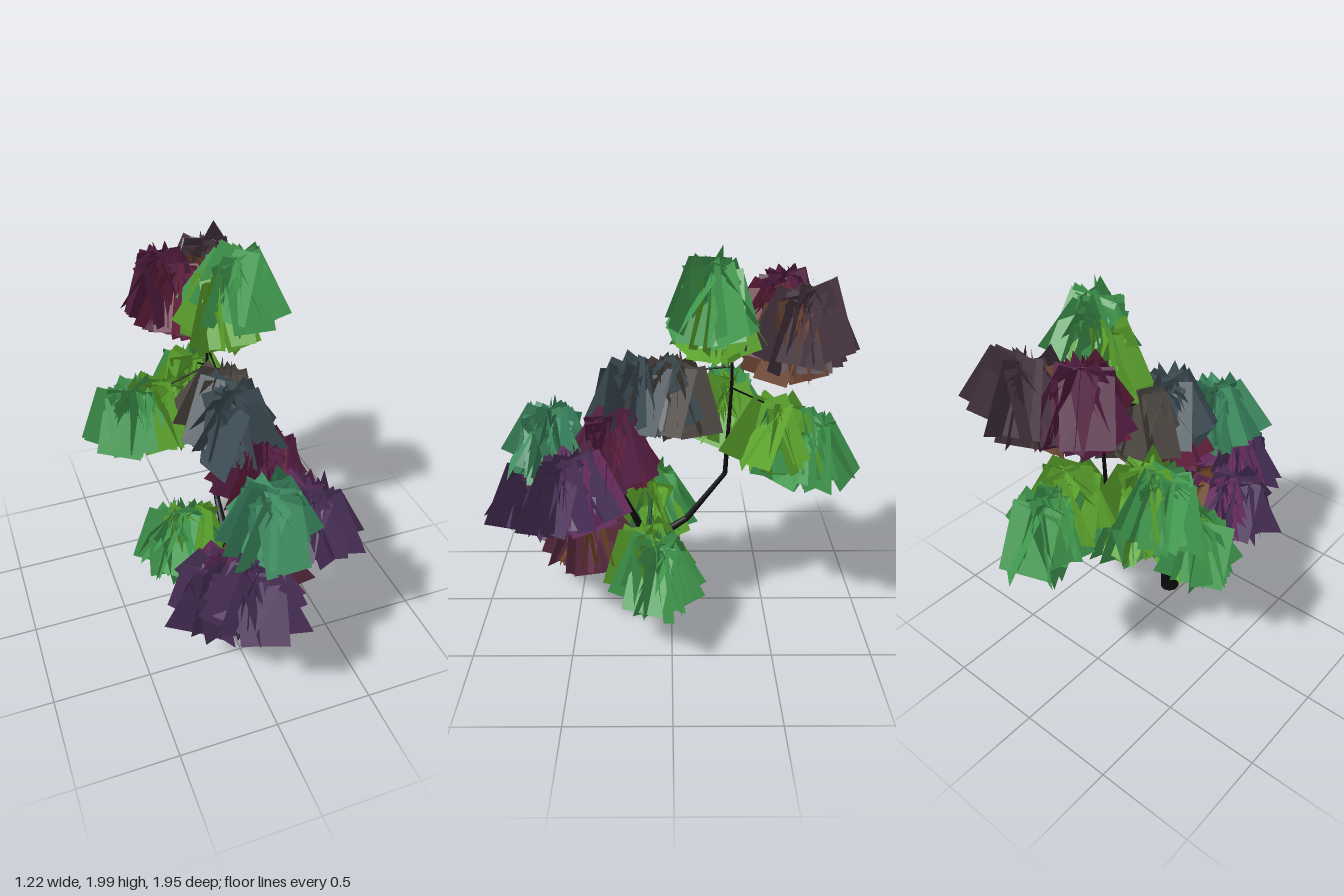
import * as THREE from 'three';
import { mergeGeometries } from 'three/addons/utils/BufferGeometryUtils.js';

let seed = 7;
function rand(a, b) {
  seed = (seed * 16807) % 2147483647;
  return a + (b - a) * (seed / 2147483647);
}

const V = (p) => new THREE.Vector3(...p);
const bark = new THREE.MeshStandardMaterial({ color: 0x0c0b0b });

// Tapered limb through points, with one radius per point
function limb(points, radii, name) {
  const parts = [];
  for (let i = 0; i < points.length - 1; i++) {
    const a = V(points[i]), b = V(points[i + 1]);
    const dir = b.clone().sub(a);
    const g = new THREE.CylinderGeometry(radii[i + 1], radii[i], dir.length(), 10);
    g.applyQuaternion(new THREE.Quaternion().setFromUnitVectors(V([0, 1, 0]), dir.normalize()));
    g.translate(...a.add(b).multiplyScalar(0.5).toArray());
    parts.push(g);
  }
  const mesh = new THREE.Mesh(mergeGeometries(parts), bark);
  mesh.name = name;
  return mesh;
}

// One drooping leaf sheet: hangs from its top edge and leans outward
function leaf(radial, yaw, position) {
  const g = new THREE.PlaneGeometry(0.23, 0.34);
  g.translate(0, -0.145, 0);
  g.rotateY(radial ? -Math.PI / 2 + rand(-0.5, 0.5) : rand(-0.5, 0.5));
  g.rotateX(-rand(0.22, 0.62));
  g.rotateY(yaw);
  g.translate(...position.toArray());
  return g;
}

// Leaves fanned along a twig from start to tip, in an inner and an outer colour
function leafCluster(start, tip, colors) {
  const a = V(start), b = V(tip);
  const count = Math.round(32 + 45 * a.distanceTo(b));
  const halves = [[], []];
  for (let i = 0; i < count; i++) {
    const t = i / (count - 1);
    const p = a.clone().lerp(b, t);
    p.add(V([rand(-0.025, 0.025), rand(-0.02, 0.02), rand(-0.025, 0.025)]));
    halves[t < 0.4 ? 0 : 1].push(leaf(i % 5 < 3, i * 2.4 + rand(-0.2, 0.2), p));
  }
  const group = new THREE.Group();
  group.name = 'leafCluster';
  halves.forEach((leaves, k) => {
    const material = new THREE.MeshStandardMaterial({ color: colors[k], side: THREE.DoubleSide });
    const mesh = new THREE.Mesh(mergeGeometries(leaves), material);
    mesh.name = k ? 'outerLeaves' : 'innerLeaves';
    group.add(mesh);
  });
  return group;
}

export function createModel() {
  seed = 7;
  const tree = new THREE.Group();
  tree.name = 'tree';

  // Trunk and the two main limbs
  const trunk = [[0.06, 0, 0.185], [0.06, 0.2, 0.165], [0.065, 0.4, 0.12]];
  const backLimb = [trunk[2], [0.08, 0.55, -0.08], [0.1, 0.82, -0.27], [0.1, 1.28, -0.29], [0.1, 1.5, -0.29], [0.1, 1.66, -0.3]];
  const frontLimb = [trunk[2], [0.08, 0.62, 0.22], [0.1, 0.8, 0.3], [0.08, 0.95, 0.42]];
  tree.add(limb(trunk, [0.054, 0.042, 0.028], 'trunk'));
  tree.add(limb(backLimb, [0.024, 0.016, 0.012, 0.008, 0.005, 0.004], 'backLimb'));
  tree.add(limb(frontLimb, [0.024, 0.015, 0.01, 0.006], 'frontLimb'));

  const green = [0x5ca52c, 0x429c50];
  const purple = [0x6a2c60, 0x4a3058];
  const dusk = [0x4c4640, 0x3c4c54];
  const wine = [0x66203c, 0x521c40];
  const plum = [0x6a4434, 0x46343f];
  const brown = [0x6a4420, 0x5c2c40];
  const teal = [0x36805c, 0x449668];

  // Twig root, start of the leaves, twig tip, colours
  const clusters = [
    [backLimb[5], [0.12, 1.74, -0.23], [0.24, 1.91, -0.16], green],
    [backLimb[4], [0.03, 1.71, -0.48], [-0.07, 1.78, -0.57], wine],
    [backLimb[4], [0.16, 1.65, -0.53], [0.21, 1.79, -0.66], plum],
    [backLimb[3], [-0.13, 1.19, -0.3], [-0.36, 1.2, -0.28], green],
    [backLimb[3], [0.1, 1.19, -0.48], [0.1, 1.06, -0.73], green],
    [[0.1, 1.39, -0.29], [0.08, 1.36, -0.07], [0.06, 1.36, 0.23], dusk],
    [frontLimb[2], [0.27, 0.96, 0.44], [0.36, 0.96, 0.54], purple],
    [frontLimb[3], [0.08, 1.12, 0.57], [0.08, 1.1, 0.65], teal],
    [frontLimb[2], [0.0, 0.82, 0.64], [-0.03, 0.79, 0.76], purple],
    [frontLimb[1], [0.0, 0.63, 0.44], [-0.2, 0.64, 0.56], purple],
    [trunk[2], [0.22, 0.53, 0.15], [0.37, 0.5, 0.03], green],
    [trunk[2], [-0.1, 0.64, 0.1], [-0.25, 0.64, 0.09], green],
    [frontLimb[2], [0.15, 1.12, 0.26], [0.21, 1.15, 0.3], wine],
    [frontLimb[1], [0.08, 0.63, 0.4], [0.12, 0.62, 0.47], brown],
  ];
  for (const [root, start, tip, colors] of clusters) {
    tree.add(leafCluster(start, tip, colors));
    tree.add(limb([root, start, tip], [0.005, 0.004, 0.002], 'twig'));
  }
  return tree;
}
